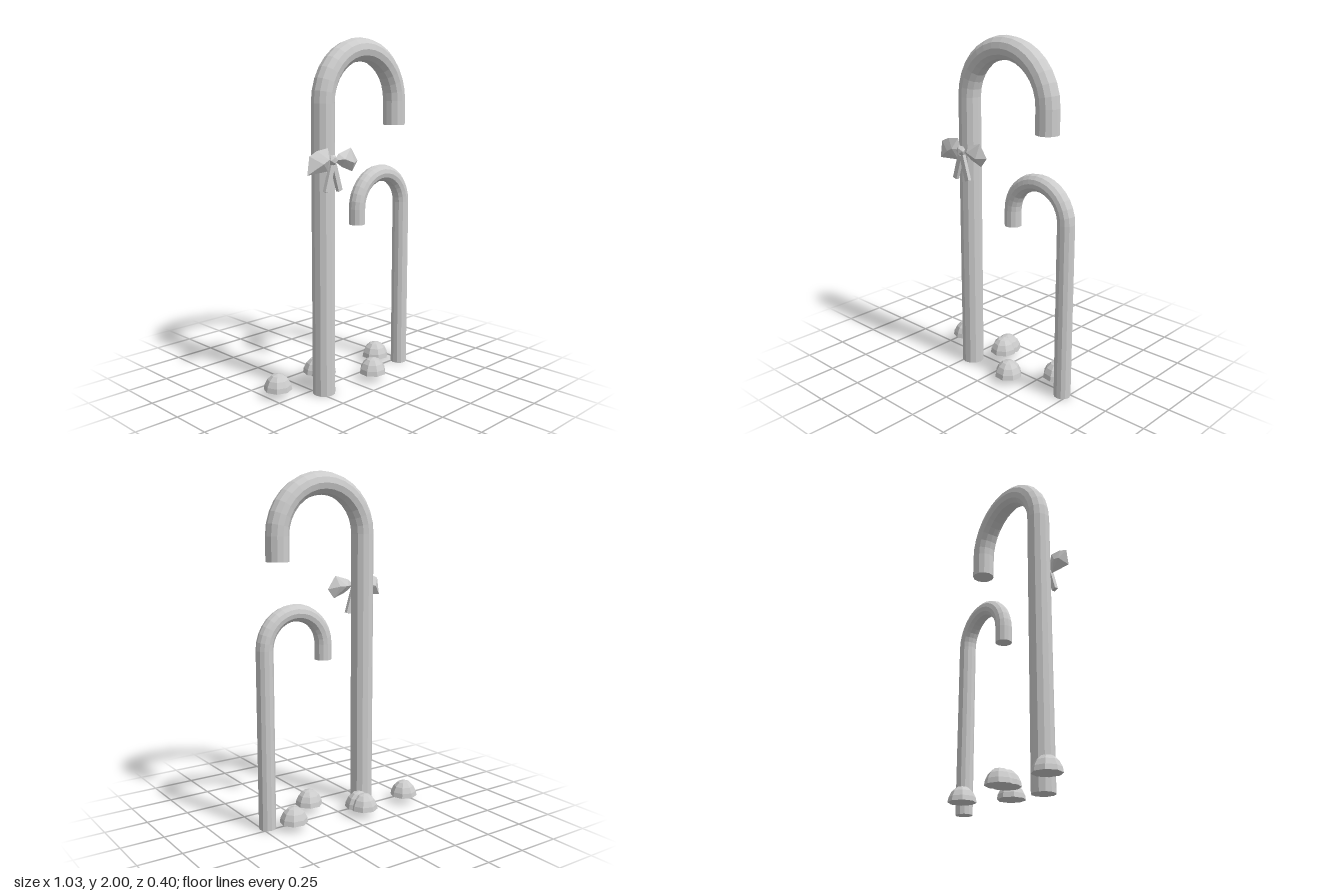
import * as THREE from 'three';
import { ConvexGeometry } from 'three/addons/geometries/ConvexGeometry.js';

export function createModel() {
  const model = new THREE.Group();
  const grey = new THREE.MeshStandardMaterial({ color: 0xcccccc, flatShading: true });
  grey.name = 'light grey';

  const add = (parent, name, geometry, x = 0, y = 0, z = 0) => {
    const mesh = new THREE.Mesh(geometry, grey);
    mesh.name = name;
    mesh.position.set(x, y, z);
    parent.add(mesh);
    return mesh;
  };

  // Hooked cane: tall stem, half-ring hook, short hanging end, and two flat caps
  function cane(name, stemX, tipX, z, r, bendY, tipY) {
    const group = new THREE.Group();
    group.name = name;
    const post = (part, x, y0, y1) => {
      add(group, part, new THREE.CylinderGeometry(r, r, y1 - y0, 12, 1, true), x, (y0 + y1) / 2, z);
      add(group, part + 'Cap', new THREE.CircleGeometry(r, 12).rotateX(Math.PI / 2), x, y0, z);
    };
    post('stem', stemX, 0, bendY);
    post('hookEnd', tipX, tipY, bendY);
    const bend = Math.abs(tipX - stemX) / 2;
    add(group, 'hook', new THREE.TorusGeometry(bend, r, 12, 16, Math.PI), (stemX + tipX) / 2, bendY, z);
    model.add(group);
  }
  cane('largeCane', -0.22, 0.357, 0.066, 0.066, 1.645, 1.505);
  cane('smallCane', 0.467, 0.083, 0.031, 0.049, 1.03, 0.938);

  // Gumdrops: eight-sided domes with flat undersides
  const profile = [[0, 0], [0.081, 0], [0.076, 0.028], [0.06, 0.06], [0.035, 0.083], [0, 0.092]]
    .map(([x, y]) => new THREE.Vector2(x, y));
  [[-0.438, -0.084], [-0.102, -0.124], [-0.095, -0.078], [0.347, -0.061], [0.13, 0.12]].forEach(([x, z], i) => {
    const drop = add(model, 'gumdrop' + (i + 1), new THREE.LatheGeometry(profile, 8), x, 0.04, z);
    drop.rotation.y = i * 0.08;
  });

  // Bow: faceted loops, tails and knot
  const bow = new THREE.Group();
  bow.name = 'bow';
  model.add(bow);
  const loop = (name, outline, front, back) => {
    const points = outline.map(([x, y]) => new THREE.Vector3(x, y, 0.135));
    for (const [x, y] of front) points.push(new THREE.Vector3(x, y, 0.167));
    for (const [x, y] of back) points.push(new THREE.Vector3(x, y, 0.102));
    add(bow, name, new ConvexGeometry(points));
  };
  loop('rightLoop',
    [[-0.4, 1.275], [-0.385, 1.375], [-0.33, 1.4], [-0.25, 1.41], [-0.225, 1.345], [-0.25, 1.285]],
    [[-0.31, 1.33], [-0.27, 1.35]], [[-0.31, 1.34], [-0.35, 1.33]]);
  loop('leftLoop',
    [[-0.205, 1.34], [-0.17, 1.375], [-0.075, 1.402], [-0.022, 1.325], [-0.065, 1.27], [-0.145, 1.3]],
    [[-0.08, 1.32], [-0.15, 1.345]], [[-0.09, 1.34], [-0.14, 1.34]]);

  for (const [name, side] of [['rightTail', -1], ['leftTail', 1]]) {
    const tail = add(bow, name, new THREE.BoxGeometry(0.03, 0.15, 0.022), -0.218 + side * 0.028, 1.245, 0.139);
    tail.rotation.z = side * 0.3;
  }
  add(bow, 'knot', new THREE.IcosahedronGeometry(0.032, 0), -0.22, 1.343, 0.142).scale.z = 0.8;

  return model;
}
